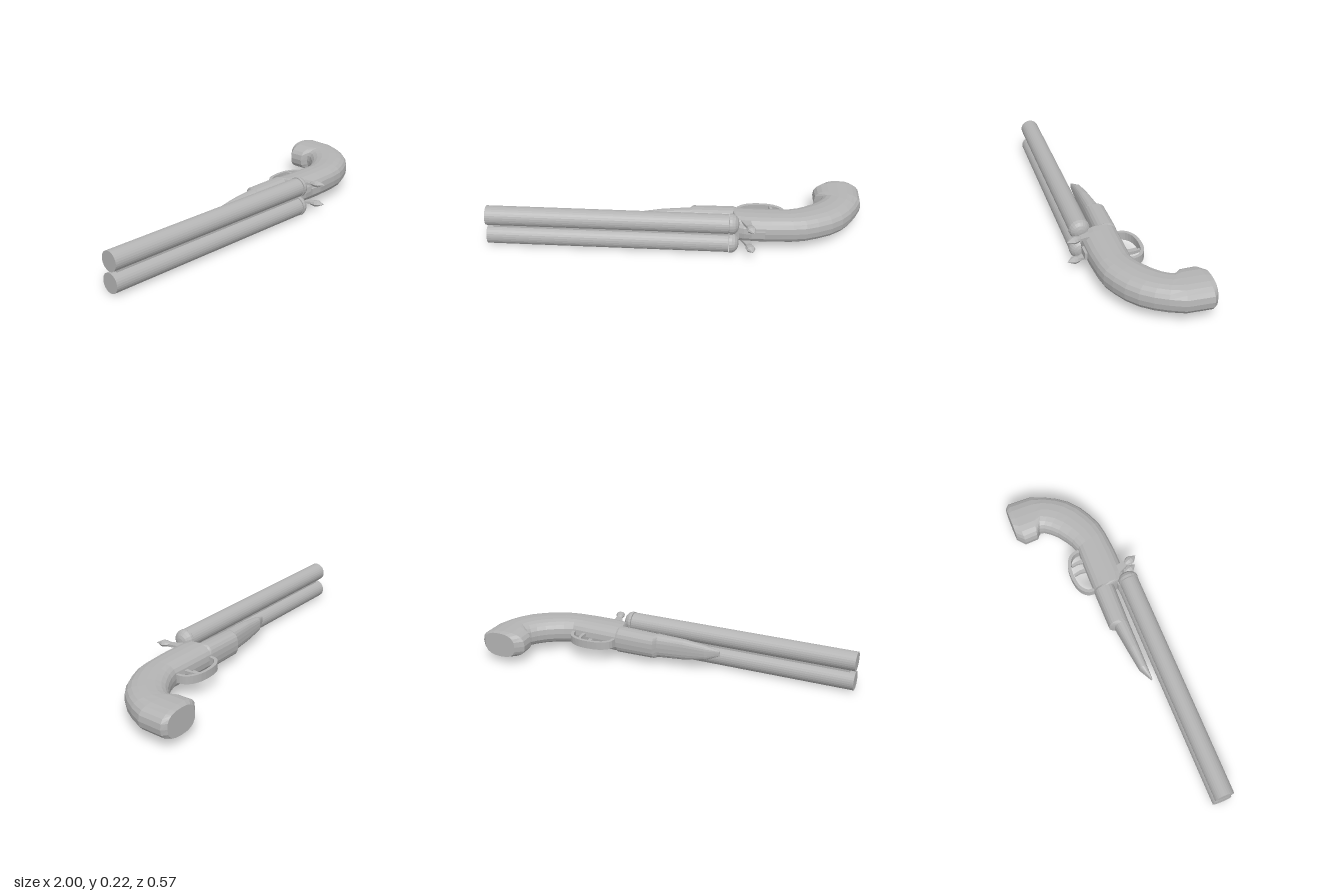
import * as THREE from 'three';

const MID_Y = 0.112;
const BORE_Z = 0.195;

// Loft through stations [innerX, innerZ, outerX, outerZ, halfWidth], with rounded cross-sections
function loft(stations, sides, power) {
  const pos = [];
  const idx = [];
  const soft = (v) => Math.sign(v) * Math.pow(Math.abs(v), 2 / power);
  for (const [ax, az, bx, bz, w] of stations) {
    for (let j = 0; j < sides; j++) {
      const t = (j / sides) * Math.PI * 2;
      const c = soft(Math.cos(t));
      pos.push((ax + bx) / 2 + (c * (ax - bx)) / 2, MID_Y + w * soft(Math.sin(t)), (az + bz) / 2 + (c * (az - bz)) / 2);
    }
  }
  const last = stations.length - 1;
  for (let i = 0; i < last; i++) {
    for (let j = 0; j < sides; j++) {
      const k = (j + 1) % sides;
      const a = i * sides + j, b = i * sides + k, c = a + sides, d = b + sides;
      idx.push(a, b, c, b, d, c);
    }
  }
  // Flat end caps
  for (let j = 1; j < sides - 1; j++) {
    idx.push(0, j + 1, j);
    idx.push(last * sides, last * sides + j, last * sides + j + 1);
  }
  const geo = new THREE.BufferGeometry();
  geo.setAttribute('position', new THREE.Float32BufferAttribute(pos, 3));
  geo.setIndex(idx);
  const flat = geo.toNonIndexed();
  flat.computeVertexNormals();
  return flat;
}

// Plate cut from an outline in the x-z plane, centred on a height
function plate(points, thickness, y) {
  const shape = new THREE.Shape(points.map(([x, z]) => new THREE.Vector2(x, z)));
  const geo = new THREE.ExtrudeGeometry(shape, { depth: thickness, bevelEnabled: false });
  geo.rotateX(Math.PI / 2);
  geo.translate(0, y + thickness / 2, 0);
  return geo;
}

const lathe = (points, sides) => new THREE.LatheGeometry(points.map(([r, h]) => new THREE.Vector2(r, h)), sides);

export function createModel() {
  const group = new THREE.Group();
  const smooth = new THREE.MeshStandardMaterial({ color: 0xb4b4b4 });
  smooth.name = 'grey';
  smooth.flatShading = true;

  const add = (name, geo, x = 0, y = 0, z = 0) => {
    const mesh = new THREE.Mesh(geo, smooth);
    mesh.name = name;
    mesh.position.set(x, y, z);
    group.add(mesh);
    return mesh;
  };

  // Stock: thin fore-end, body, and curved grip with a flared butt
  add('stock', loft([
    [-0.275, 0.097, -0.275, 0.105, 0.015],
    [-0.2, 0.06, -0.2, 0.106, 0.042],
    [-0.08, 0.045, -0.08, 0.107, 0.058],
    [0.07, 0.027, 0.07, 0.108, 0.066],
    [0.085, 0.0, 0.085, 0.109, 0.068],
    [0.3, 0.0, 0.3, 0.115, 0.072],
    [0.312, 0.0, 0.312, 0.185, 0.073],
    [0.36, 0.0, 0.36, 0.2, 0.073],
    [0.5, 0.002, 0.5, 0.199, 0.073],
    [0.58, 0.005, 0.62, 0.19, 0.073],
    [0.63, -0.013, 0.69, 0.178, 0.073],
    [0.67, -0.035, 0.755, 0.152, 0.073],
    [0.715, -0.066, 0.825, 0.115, 0.073],
    [0.75, -0.1, 0.885, 0.066, 0.073],
    [0.772, -0.13, 0.93, 0.008, 0.073],
    [0.778, -0.153, 0.965, -0.055, 0.073],
    [0.746, -0.177, 0.997, -0.13, 0.073],
    [0.742, -0.25, 0.999, -0.265, 0.073],
    [0.785, -0.287, 0.975, -0.287, 0.07],
  ], 20, 2.6));

  // Twin barrels, breech caps and hammers
  for (const [side, y] of [['lower', 0.056], ['upper', 0.168]]) {
    const barrel = lathe([[0, -1], [0.052, -1], [0.052, 0.28], [0, 0.28]], 28);
    add(side + 'Barrel', barrel.rotateZ(-Math.PI / 2), 0, y, BORE_Z);

    const breech = lathe([[0, 0.284], [0.055, 0.284], [0.055, 0.298], [0.048, 0.314], [0.034, 0.326], [0.018, 0.332], [0, 0.334]], 20);
    add(side + 'Breech', breech.rotateZ(-Math.PI / 2), 0, y, BORE_Z);

    const hammer = lathe([[0, -0.04], [0.012, -0.03], [0.019, -0.005], [0.019, 0.012], [0.008, 0.032], [0, 0.046]], 8);
    hammer.rotateX(Math.PI / 2);
    hammer.scale(1.3, 0.9, 1);
    add(side + 'Hammer', hammer, 0.395, y + (y > MID_Y ? 0.002 : -0.002), 0.243).rotation.y = 0.35;

    // Slim arm joining the hammer to the body
    add(side + 'HammerArm', plate([[0.335, 0.15], [0.39, 0.15], [0.405, 0.225], [0.375, 0.225]], 0.014, y));
  }

  // Rib between the barrels, and the barrel latch on the tang
  add('barrelRib', new THREE.BoxGeometry(1.25, 0.022, 0.03), -0.345, MID_Y, BORE_Z);
  add('breechBlock', new THREE.BoxGeometry(0.05, 0.07, 0.06), 0.31, MID_Y, 0.165);
  add('latch', new THREE.BoxGeometry(0.07, 0.036, 0.024), 0.435, MID_Y, 0.198);

  // Trigger guard: an arched strip of even thickness
  const arch = new THREE.CatmullRomCurve3([
    [0.318, 0.01], [0.325, -0.035], [0.365, -0.068], [0.43, -0.08],
    [0.5, -0.075], [0.55, -0.05], [0.568, -0.02], [0.572, 0.015],
  ].map(([x, z]) => new THREE.Vector3(x, 0, z)));
  const outer = [];
  const inner = [];
  for (let i = 0; i <= 18; i++) {
    const p = arch.getPoint(i / 18);
    const t = arch.getTangent(i / 18);
    outer.push([p.x + t.z * 0.009, p.z - t.x * 0.009]);
    inner.unshift([p.x - t.z * 0.009, p.z + t.x * 0.009]);
  }
  add('triggerGuard', plate([...outer, ...inner], 0.044, MID_Y));

  // Pair of curved triggers
  for (const [name, x, y] of [['frontTrigger', 0.448, 0.1], ['rearTrigger', 0.495, 0.124]]) {
    add(name, plate([[x, 0.01], [x + 0.004, -0.03], [x - 0.002, -0.062], [x + 0.012, -0.062], [x + 0.02, -0.03], [x + 0.024, 0.01]], 0.016, y));
  }

  return group;
}
